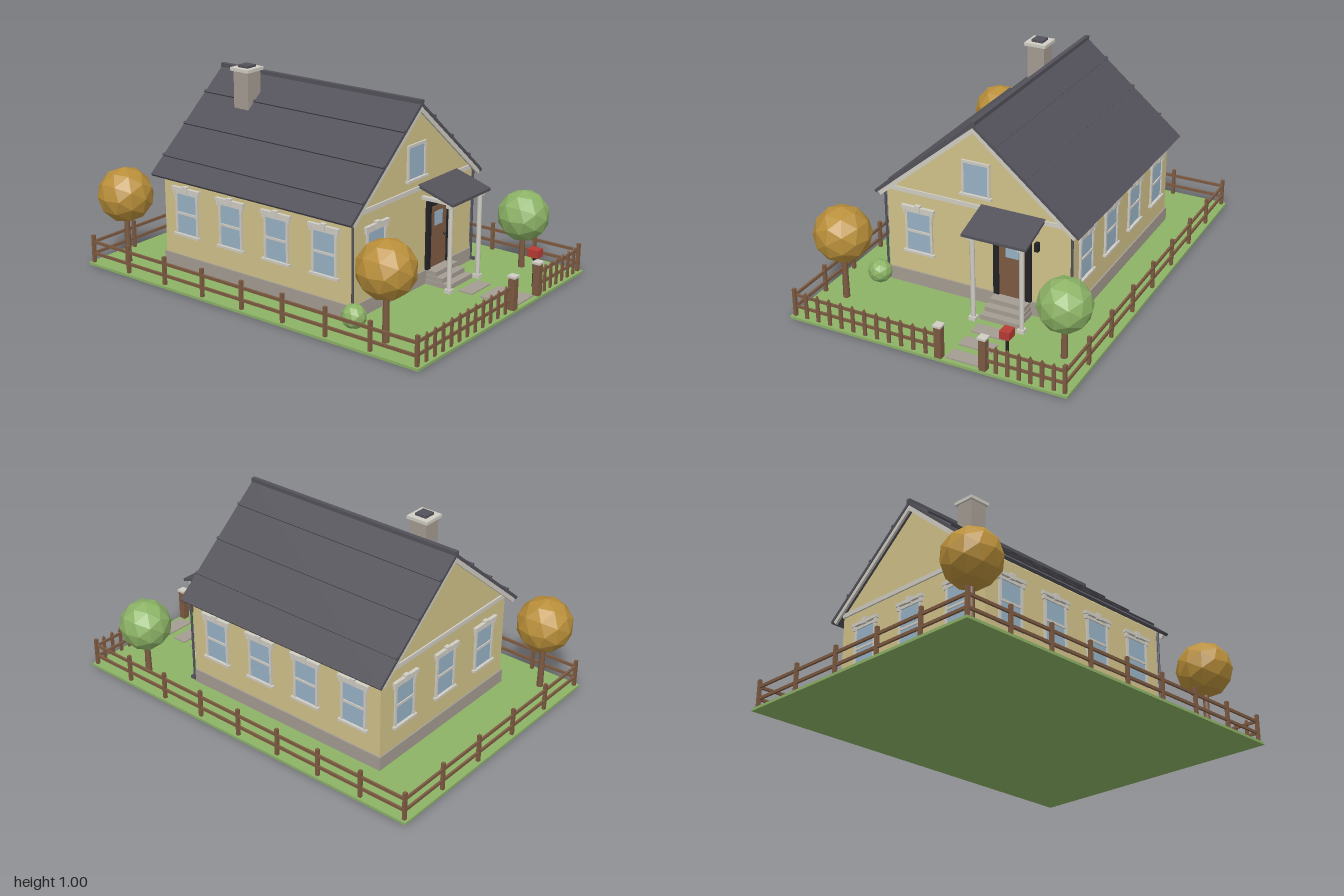
import * as THREE from 'three';

const mat = (name, color, flat = false) => {
  const m = new THREE.MeshStandardMaterial({ color, flatShading: flat });
  m.name = name;
  return m;
};

export function createModel() {
  const M = {
    wall: mat('creamWall', 0xd2c28a), trim: mat('paleTrim', 0xd0cdc4), stone: mat('stone', 0xa49c92),
    roof: mat('slate', 0x53525a), glass: mat('windowGlass', 0x98b3c6), wood: mat('brownWood', 0x7d5b42),
    black: mat('blackPaint', 0x232326), green: mat('grassGreen', 0x8cb366, true),
    gold: mat('autumnGold', 0xb98f3a, true), red: mat('red', 0xb83a34),
  };
  const root = new THREE.Group();
  const group = (name, parent = root) => {
    const g = new THREE.Group();
    g.name = name;
    parent.add(g);
    return g;
  };
  const add = (parent, name, geo, m, x = 0, y = 0, z = 0) => {
    const mesh = new THREE.Mesh(geo, m);
    mesh.name = name;
    mesh.position.set(x, y, z);
    parent.add(mesh);
    return mesh;
  };
  // box given by its x, y and z ranges
  const box = (parent, name, m, x0, x1, y0, y1, z0, z1) => add(parent, name,
    new THREE.BoxGeometry(x1 - x0, y1 - y0, z1 - z0), m, (x0 + x1) / 2, (y0 + y1) / 2, (z0 + z1) / 2);
  const rod = (parent, name, m, x, z, y0, y1, r0, r1 = r0, sides = 10) => add(parent, name,
    new THREE.CylinderGeometry(r1, r0, y1 - y0, sides), m, x, (y0 + y1) / 2, z);

  box(root, 'lawn', M.green, -0.71, 0.71, 0, 0.013, -1, 1);

  // House body
  const FRONT = 0.48, BACK = -0.677, SIDE = 0.48;
  const house = group('house');
  box(house, 'foundation', M.stone, -0.488, 0.488, 0.01, 0.083, BACK - 0.008, FRONT + 0.008);
  const gable = new THREE.Shape();
  gable.moveTo(-SIDE, 0.083).lineTo(SIDE, 0.083).lineTo(SIDE, 0.507).lineTo(0, 0.909).lineTo(-SIDE, 0.507).closePath();
  add(house, 'walls', new THREE.ExtrudeGeometry(gable, { depth: FRONT - BACK, bevelEnabled: false }), M.wall, 0, 0, BACK);
  box(house, 'frontGableBand', M.trim, -SIDE, SIDE, 0.5, 0.522, FRONT, FRONT + 0.008);
  box(house, 'backGableBand', M.trim, -SIDE, SIDE, 0.5, 0.522, BACK - 0.008, BACK);

  // Roof: boxes laid on each slope, placed by distance from the ridge and lift off the surface
  const roof = group('roof');
  const RIDGE = 0.935, SLOPE = 0.837, A = Math.atan(SLOPE);
  const onSlope = (name, m, s, x0, x1, lift0, lift1, z0, z1) => {
    const x = (x0 + x1) / 2, lift = (lift0 + lift1) / 2;
    const b = add(roof, name, new THREE.BoxGeometry((x1 - x0) / Math.cos(A), lift1 - lift0, z1 - z0), m,
      s * (x + lift * Math.sin(A)), RIDGE - SLOPE * x + lift * Math.cos(A), (z0 + z1) / 2);
    b.rotation.z = -s * A;
  };
  for (const s of [-1, 1]) {
    onSlope('roofSlab', M.roof, s, 0, 0.535, -0.015, 0, -0.715, 0.51);
    for (const z of [-0.712, 0.496])
      onSlope('rakeBoard', M.trim, s, 0.008, 0.525, -0.036, -0.0145, z, z + 0.012);
    for (const x of s > 0 ? [0.11, 0.263, 0.416] : [0.134, 0.29, 0.443])
      onSlope('roofSeam', M.roof, s, x - 0.005, x + 0.005, 0, 0.009, -0.715, 0.51);
    // Downspouts at the front corners
    rod(house, 'downspout', M.roof, s * 0.488, 0.487, 0.035, 0.5, 0.006);
    box(house, 'downspoutFoot', M.roof, s * 0.485 - 0.007, s * 0.485 + 0.007, 0.022, 0.036, 0.48, 0.512);
  }
  box(roof, 'ridgeCap', M.roof, -0.011, 0.011, 0.922, 0.946, -0.718, 0.513);

  // Chimney
  const chimney = group('chimney');
  const stack = (name, m, r, y0, y1) => box(chimney, name, m, -0.133 - r, -0.133 + r, y0, y1, -0.435 - r, -0.435 + r);
  stack('chimneyStack', M.stone, 0.046, 0.72, 0.974);
  stack('chimneyCap', M.trim, 0.058, 0.972, 0.988);
  stack('chimneyFlue', M.roof, 0.031, 0.986, 1.0);

  // Windows, built facing +z and then turned to their wall
  const makeWindow = (x, z, turn, y0, y1, fancy) => {
    const g = group('window');
    g.position.set(x, 0, z);
    g.rotation.y = turn;
    box(g, 'glass', M.glass, -0.064, 0.064, y0, y1, 0, 0.004);
    for (const s of [-1, 1])
      box(g, 'windowJamb', M.trim, s * 0.067 - 0.006, s * 0.067 + 0.006, y0, y1, 0, 0.01);
    box(g, 'windowHead', M.trim, -0.073, 0.073, y1 - 0.004, y1 + 0.01, 0, 0.01);
    box(g, 'windowSill', M.trim, -0.083, 0.083, y0 - 0.012, y0, 0, 0.018);
    if (!fancy) return;
    box(g, 'meetingRail', M.trim, -0.064, 0.064, (y0 + y1) / 2 - 0.006, (y0 + y1) / 2 + 0.006, 0, 0.009);
    box(g, 'windowCornice', M.trim, -0.088, 0.088, y1 + 0.014, y1 + 0.03, 0, 0.018);
    box(g, 'keystone', M.trim, -0.014, 0.014, y1 + 0.008, y1 + 0.04, 0, 0.022);
    for (const s of [-1, 1])
      box(g, 'corniceBracket', M.trim, s * 0.074 - 0.008, s * 0.074 + 0.008, y1 - 0.008, y1 + 0.016, 0, 0.014);
  };
  makeWindow(0, FRONT, 0, 0.572, 0.728, false);
  makeWindow(-0.31, FRONT, 0, 0.2, 0.407, true);
  for (const x of [-0.31, 0, 0.31]) makeWindow(x, BACK, Math.PI, 0.2, 0.407, true);
  for (const z of [0.323, 0.04, -0.243, -0.527])
    for (const s of [-1, 1]) makeWindow(s * SIDE, z, s * Math.PI / 2, 0.2, 0.407, true);

  // Front door
  const DX = 0.187;
  const door = group('frontDoor');
  door.position.set(DX, 0, FRONT);
  box(door, 'doorPanel', M.wood, -0.07, 0.07, 0.083, 0.397, 0, 0.008);
  for (const s of [-1, 1])
    box(door, 'doorJamb', M.black, s * 0.083 - 0.014, s * 0.083 + 0.014, 0.083, 0.397, 0, 0.016);
  box(door, 'doorLintel', M.black, -0.097, 0.097, 0.397, 0.427, 0, 0.016);
  box(door, 'doorWindow', M.glass, -0.033, 0.033, 0.29, 0.36, 0.008, 0.011);
  add(door, 'doorKnob', new THREE.SphereGeometry(0.007, 10, 8), M.black, 0.05, 0.23, 0.013);
  box(door, 'wallLamp', M.black, 0.119, 0.137, 0.362, 0.405, 0, 0.024);

  // Porch: sloping roof, posts and beams
  const porch = group('porch');
  const canopy = new THREE.Shape();
  canopy.moveTo(0.475, 0.53).lineTo(0.675, 0.468).lineTo(0.675, 0.455).lineTo(0.475, 0.515).closePath();
  const cover = add(porch, 'porchRoof', new THREE.ExtrudeGeometry(canopy, { depth: 0.326, bevelEnabled: false }),
    M.roof, 0.35, 0, 0);
  cover.rotation.y = -Math.PI / 2;
  for (const s of [-1, 1]) {
    const x = DX + s * 0.125;
    rod(porch, 'porchPost', M.trim, x, 0.64, 0.02, 0.45, 0.0115, 0.0115, 12);
    box(porch, 'postBase', M.trim, x - 0.017, x + 0.017, 0.01, 0.032, 0.623, 0.657);
    box(porch, 'postCapital', M.trim, x - 0.017, x + 0.017, 0.435, 0.45, 0.623, 0.657);
    box(porch, 'sideBeam', M.trim, x - 0.01, x + 0.01, 0.448, 0.464, FRONT, 0.65);
  }
  box(porch, 'frontBeam', M.trim, DX - 0.142, DX + 0.142, 0.448, 0.464, 0.63, 0.65);
  cover.position.x = 0.35;

  // Steps and path
  for (let i = 0; i < 3; i++)
    box(porch, 'step', M.stone, 0.095 - 0.004 * i, 0.279 + 0.004 * i, 0.01, 0.083 - 0.023 * i, FRONT, 0.545 + 0.04 * i);
  for (const z of [0.705, 0.823, 0.94])
    box(root, 'pathStone', M.stone, 0.105, 0.27, 0.01, 0.019, z - 0.037, z + 0.037);

  // Fence
  const fence = group('fence');
  const post = (x, z, top = 0.155) => box(fence, 'fencePost', M.wood, x - 0.008, x + 0.008, 0.01, top, z - 0.008, z + 0.008);
  const FX = 0.69, FZ = 0.98;
  for (const s of [-1, 1])
    for (let i = 0; i <= 8; i++) post(s * FX, FZ - i * 0.245);
  for (let i = 1; i < 5; i++) post(-FX + i * 0.276, -FZ);
  for (const y of [0.06, 0.12]) {
    for (const s of [-1, 1])
      box(fence, 'sideRail', M.wood, s * FX - 0.005, s * FX + 0.005, y - 0.007, y + 0.007, -FZ, FZ);
    box(fence, 'backRail', M.wood, -FX, FX, y - 0.007, y + 0.007, -FZ - 0.005, -FZ + 0.005);
    box(fence, 'frontRail', M.wood, -FX, 0.06, y - 0.007, y + 0.007, FZ - 0.009, FZ - 0.001);
    box(fence, 'frontRail', M.wood, 0.31, FX, y - 0.007, y + 0.007, FZ - 0.009, FZ - 0.001);
  }
  const picketShape = new THREE.Shape();
  picketShape.moveTo(-0.009, 0.012).lineTo(0.009, 0.012).lineTo(0.009, 0.135).lineTo(0, 0.15).lineTo(-0.009, 0.135).closePath();
  const picketGeo = new THREE.ExtrudeGeometry(picketShape, { depth: 0.008, bevelEnabled: false });
  for (let i = 0; i < 11; i++) add(fence, 'picket', picketGeo, M.wood, -0.626 + i * 0.0634, 0, FZ - 0.001);
  for (let i = 0; i < 6; i++) add(fence, 'picket', picketGeo, M.wood, 0.361 + i * 0.0555, 0, FZ - 0.001);
  for (const x of [0.076, 0.298]) {
    box(fence, 'gatePillar', M.wood, x - 0.017, x + 0.017, 0.01, 0.172, 0.962, 0.996);
    box(fence, 'gatePillarCap', M.trim, x - 0.021, x + 0.021, 0.17, 0.181, 0.958, 1);
  }

  // Mailbox
  const mailbox = group('mailbox');
  rod(mailbox, 'mailboxPost', M.black, 0.38, 0.913, 0.01, 0.168, 0.008);
  box(mailbox, 'mailboxBody', M.red, 0.356, 0.404, 0.166, 0.205, 0.885, 0.942);

  // Trees and bush
  const tree = (x, z, y, r, m) => {
    const g = group('tree');
    rod(g, 'trunk', M.wood, x, z, 0.01, y, 0.017, 0.012, 8);
    add(g, 'foliage', new THREE.IcosahedronGeometry(r, 1), m, x, y, z);
  };
  tree(-0.573, 0.733, 0.353, 0.14, M.gold);
  tree(-0.578, -0.853, 0.366, 0.14, M.gold);
  tree(0.57, 0.733, 0.282, 0.13, M.green);
  add(root, 'bush', new THREE.IcosahedronGeometry(0.06, 1), M.green, -0.518, 0.058, 0.518);
  return root;
}
